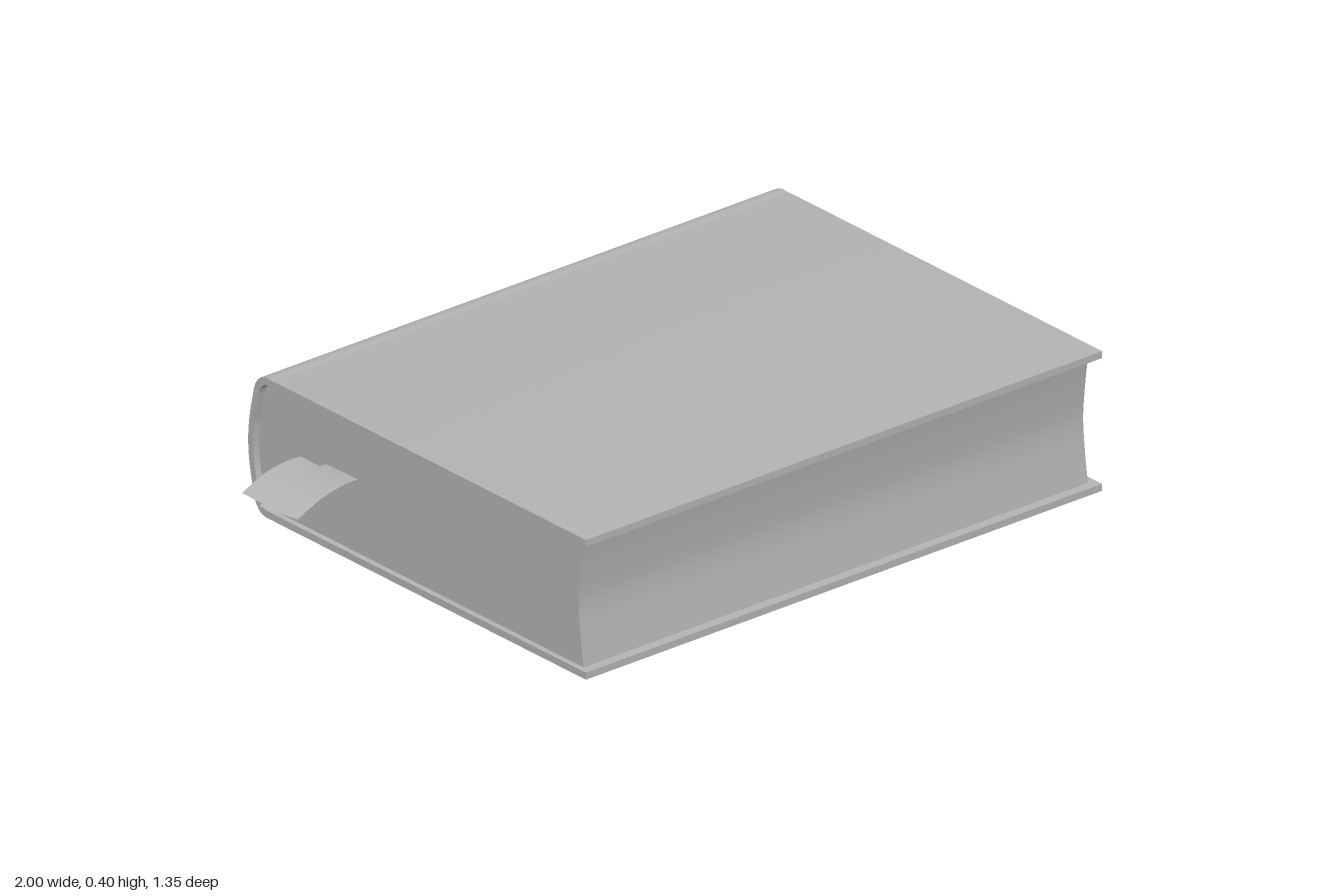
import * as THREE from 'three';
import { toCreasedNormals } from 'three/addons/utils/BufferGeometryUtils.js';

const MID = 0.203; // mid-height of the closed book

// Smooth arc through a top-half profile and its mirror image; u runs towards the spine
function mirroredArc(half) {
  const top = half.map(([u, y]) => new THREE.Vector2(u, MID + y));
  const bottom = half.slice(0, -1).reverse().map(([u, y]) => new THREE.Vector2(u, MID - y));
  return new THREE.SplineCurve([...top, ...bottom]).getPoints(64);
}

// Extrude a (u, y) outline along x, with u pointing to -z
function extrudeAcross(points, x0, x1) {
  const geometry = new THREE.ExtrudeGeometry(new THREE.Shape(points), { depth: x1 - x0, bevelEnabled: false });
  geometry.rotateY(Math.PI / 2);
  geometry.translate(x0, 0, 0);
  return toCreasedNormals(geometry, 0.6);
}

// Thin curved strip: path of [x, y, z] centre points, constant width in the given direction
function ribbonGeometry(path, width, angle) {
  const curve = new THREE.CatmullRomCurve3(path.map((p) => new THREE.Vector3(...p)));
  const side = new THREE.Vector3(Math.sin(angle), 0, Math.cos(angle)).multiplyScalar(width / 2);
  const steps = 16;
  const geometry = new THREE.PlaneGeometry(1, 1, steps, 1);
  const position = geometry.attributes.position;
  for (let i = 0; i <= steps; i++) {
    const p = curve.getPoint(i / steps);
    position.setXYZ(i, p.x - side.x, p.y, p.z - side.z);
    position.setXYZ(i + steps + 1, p.x + side.x, p.y, p.z + side.z);
  }
  geometry.computeVertexNormals();
  return geometry;
}

export function createModel() {
  const book = new THREE.Group();
  book.name = 'book';
  const grey = new THREE.MeshStandardMaterial({ color: 0xb4b4b4, side: THREE.DoubleSide });
  grey.name = 'grey';
  const add = (name, geometry) => {
    const mesh = new THREE.Mesh(geometry, grey);
    mesh.name = name;
    book.add(mesh);
  };

  // Cover: two boards joined by a rounded spine, as one C-shaped section
  const outer = mirroredArc([
    [0.56, 0.2], [0.578, 0.199], [0.6, 0.2], [0.625, 0.192], [0.645, 0.167], [0.655, 0.13], [0.668, 0.065], [0.673, 0],
  ]);
  const inner = mirroredArc([
    [0.56, 0.18], [0.578, 0.179], [0.6, 0.179], [0.615, 0.172], [0.627, 0.155], [0.636, 0.12], [0.649, 0.06], [0.653, 0],
  ]);
  const edge = (y) => new THREE.Vector2(-0.675, MID + y);
  add('cover', extrudeAcross([edge(0.2), ...outer, edge(-0.2), edge(-0.18), ...inner.reverse(), edge(0.18)], -0.75, 1));

  // Page block: rounded back, hollow fore edge
  const back = mirroredArc([
    [0.58, 0.179], [0.6, 0.176], [0.617, 0.162], [0.629, 0.13], [0.642, 0.065], [0.647, 0],
  ]);
  const foreEdge = mirroredArc([[-0.648, 0.179], [-0.637, 0.1], [-0.629, 0]]);
  add('pages', extrudeAcross([...back, ...foreEdge.reverse()], -0.735, 0.975));

  // Ribbon markers hanging from the end of the page block
  add('straightRibbon', ribbonGeometry(
    [[-0.7, 0.215, -0.42], [-0.78, 0.218, -0.42], [-0.86, 0.205, -0.42], [-0.933, 0.173, -0.42]], 0.125, 0));
  add('angledRibbon', ribbonGeometry(
    [[-0.7, 0.229, -0.322], [-0.8, 0.24, -0.305], [-0.89, 0.235, -0.289], [-0.988, 0.21, -0.272]], 0.128, 0.175));

  return book;
}
